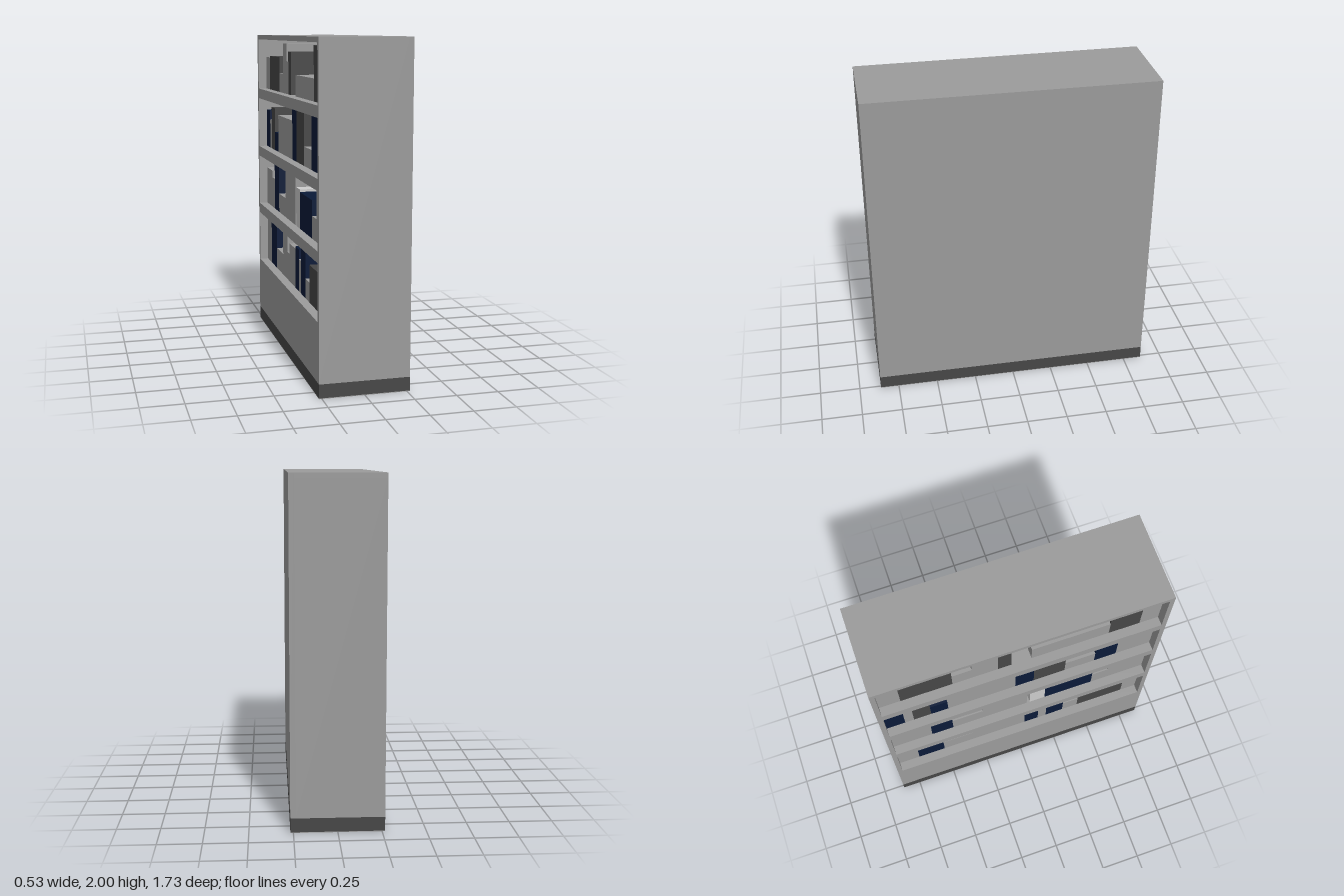
import * as THREE from 'three';

const W = 0.267, D = 0.865, T = 0.03; // half width, half length, board thickness
const mat = (color) => new THREE.MeshStandardMaterial({ color });
const GREY = mat(0x9b9b9b), DARK = mat(0x474747), BLUE = mat(0x0a1a38), PALE = mat(0xdcdcdc);

// Box given by its minimum and maximum corners
function box(parent, name, material, [x0, y0, z0], [x1, y1, z1]) {
  const geometry = new THREE.BoxGeometry(x1 - x0, y1 - y0, z1 - z0);
  const mesh = new THREE.Mesh(geometry, material);
  mesh.position.set((x0 + x1) / 2, (y0 + y1) / 2, (z0 + z1) / 2);
  mesh.name = name;
  parent.add(mesh);
}

// Each row: floor and books as [start, end along the shelf, top, material]
const rows = [
  { floor: 0.435, books: [
    [0.03, 0.166, 0.75, GREY], [0.166, 0.342, 0.75, BLUE], [0.342, 0.542, 0.573, GREY],
    [0.542, 0.67, 0.75, GREY], [0.67, 0.74, 0.617, GREY], [0.74, 0.905, 0.685, GREY],
    [0.905, 1.0, 0.70, BLUE], [1.0, 1.057, 0.64, GREY], [1.057, 1.175, 0.74, BLUE],
    [1.175, 1.28, 0.557, GREY], [1.28, 1.597, 0.665, DARK], [1.597, 1.7, 0.67, GREY]] },
  { floor: 0.836, books: [
    [0.03, 0.2, 1.085, GREY], [0.2, 0.285, 1.04, GREY], [0.285, 0.424, 1.14, BLUE],
    [0.424, 0.624, 0.96, GREY], [0.624, 0.915, 1.15, GREY], [0.935, 1.035, 1.078, PALE],
    [1.035, 1.35, 1.063, BLUE], [1.35, 1.456, 0.97, GREY], [1.456, 1.565, 1.15, GREY],
    [1.565, 1.63, 1.035, GREY], [1.63, 1.7, 1.15, GREY]] },
  { floor: 1.237, books: [
    [0.03, 0.145, 1.49, BLUE], [0.145, 0.2, 1.43, GREY], [0.2, 0.307, 1.517, DARK],
    [0.307, 0.413, 1.36, BLUE], [0.413, 0.835, 1.48, GREY], [0.835, 0.952, 1.55, BLUE],
    [0.952, 1.15, 1.55, DARK], [1.15, 1.34, 1.353, GREY], [1.34, 1.48, 1.55, BLUE],
    [1.48, 1.55, 1.44, GREY], [1.55, 1.7, 1.5, GREY]] },
  { floor: 1.635, books: [
    [0.03, 0.155, 1.85, GREY], [0.155, 0.46, 1.86, DARK], [0.46, 0.577, 1.757, GREY],
    [0.577, 0.682, 1.95, GREY], [0.682, 0.73, 1.84, GREY], [0.73, 0.81, 1.9, DARK],
    [0.93, 1.397, 1.765, GREY], [1.397, 1.585, 1.95, DARK], [1.585, 1.7, 1.95, GREY]] },
];

export function createModel() {
  const model = new THREE.Group();
  model.name = 'bookcase';

  // Plinth with its underside, and outer case, open towards -x
  const base = 0.085, sole = 0.004;
  box(model, 'underside', GREY, [-W, 0, -D], [W, sole, D]);
  box(model, 'plinth', DARK, [-W, sole, -D], [W, base, D]);
  box(model, 'backPanel', GREY, [W - T, base, -D], [W, 2, D]);
  box(model, 'topBoard', GREY, [-W, 2 - T, -D], [W - T, 2, D]);
  for (const z0 of [-D, D - T]) {
    box(model, 'endPanel', GREY, [-W, base, z0], [W - T, 2 - T, z0 + T]);
  }
  box(model, 'lowerPanel', GREY, [-W, base, -D + T], [W - T, rows[0].floor, D - T]);

  // Shelves and the books set back from their front edge
  const setback = 0.055;
  rows.forEach(({ floor, books }, i) => {
    if (i > 0) box(model, 'shelf', GREY, [-W, floor - 0.066, -D + T], [W - T, floor, D - T]);
    const row = new THREE.Group();
    row.name = 'bookRow';
    for (const [start, end, top, material] of books) {
      box(row, 'book', material, [-W + setback, floor, start - D], [W - T, top, end - D]);
    }
    model.add(row);
  });
  return model;
}
